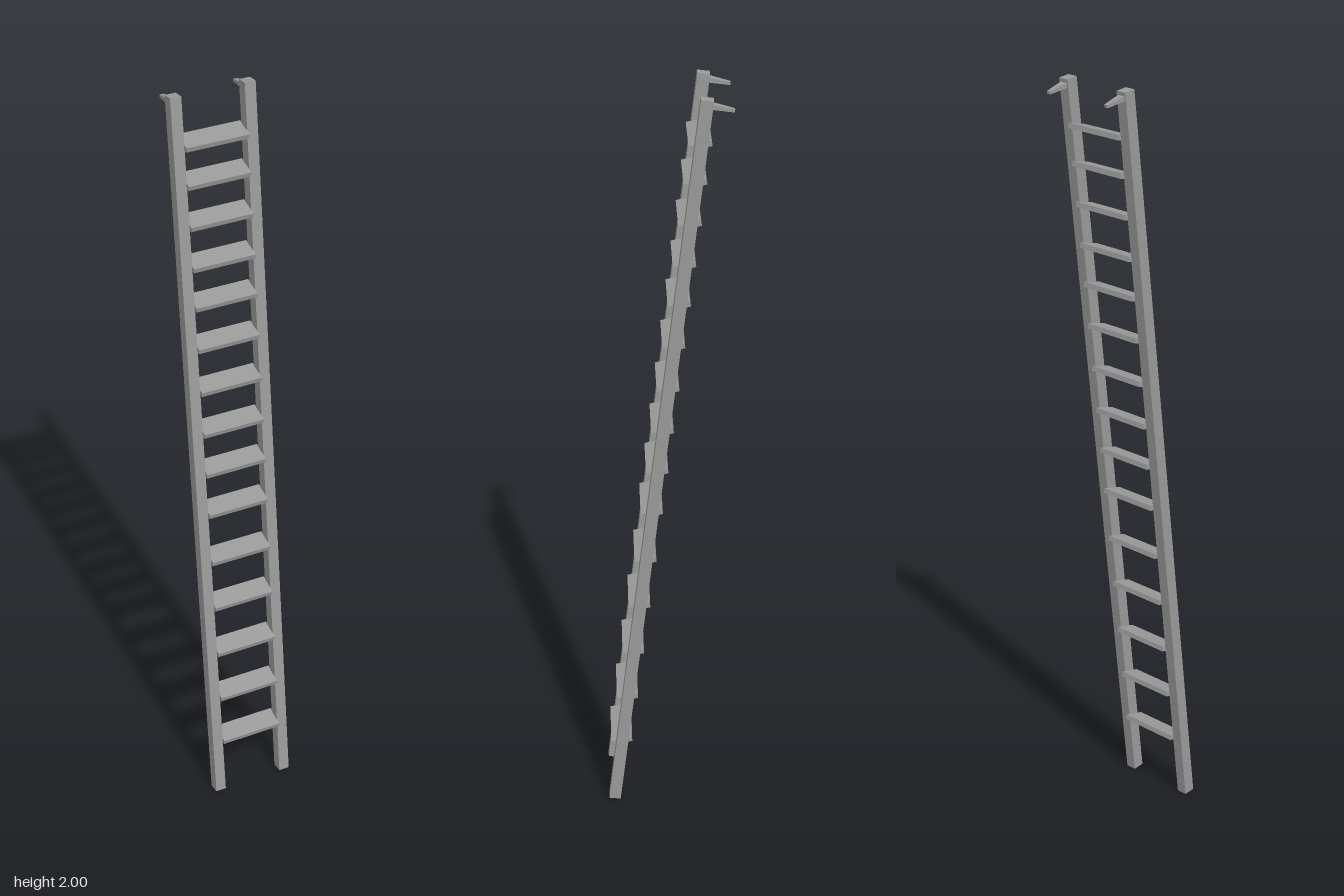
import * as THREE from 'three';

export function createModel() {
  const model = new THREE.Group();
  model.name = 'ladder';
  const material = new THREE.MeshStandardMaterial({ color: 0x999999, flatShading: true });

  const add = (parent, name, geometry, x, y, z) => {
    const mesh = new THREE.Mesh(geometry, material);
    mesh.name = name;
    mesh.position.set(x, y, z);
    parent.add(mesh);
    return mesh;
  };

  // Leaning frame: the top tips towards -z
  const lean = 0.118, length = 2.0107, railWidth = 0.029, centreZ = 0.0243;
  const frame = new THREE.Group();
  frame.name = 'leaningFrame';
  frame.position.set(0, 1, centreZ);
  frame.rotation.x = -lean;
  model.add(frame);

  // Hook: a box narrowing and dropping slightly towards its rear tip
  const hookLength = 0.053;
  const hook = new THREE.BoxGeometry(0.022, 0.012, hookLength);
  const p = hook.attributes.position;
  for (let i = 0; i < p.count; i++) {
    if (p.getZ(i) < 0) p.setXYZ(i, p.getX(i) * 0.5, p.getY(i) * 0.6 - 0.005, p.getZ(i));
  }
  hook.computeVertexNormals();

  // Rails with their hooks
  const rail = new THREE.BoxGeometry(railWidth, length, 0.031);
  for (const [side, s] of [['left', 1], ['right', -1]]) {
    add(frame, side + 'Rail', rail, s * 0.0975, 0, 0);
    add(frame, side + 'Hook', hook, s * 0.0975, 0.99, -0.015 - hookLength / 2);
  }

  // Treads: front edge lower than the back, closer together near the top
  const heights = [0.171, 0.311, 0.453, 0.596, 0.735, 0.877, 0.996, 1.111, 1.229, 1.348, 1.461, 1.566, 1.674, 1.78, 1.877];
  const tread = new THREE.BoxGeometry(0.168, 0.013, 0.056);
  heights.forEach((y, i) => {
    const z = centreZ - (y - 1) * Math.tan(lean);
    add(model, 'tread' + (i + 1), tread, 0, y, z).rotation.x = 0.23;
  });

  return model;
}
